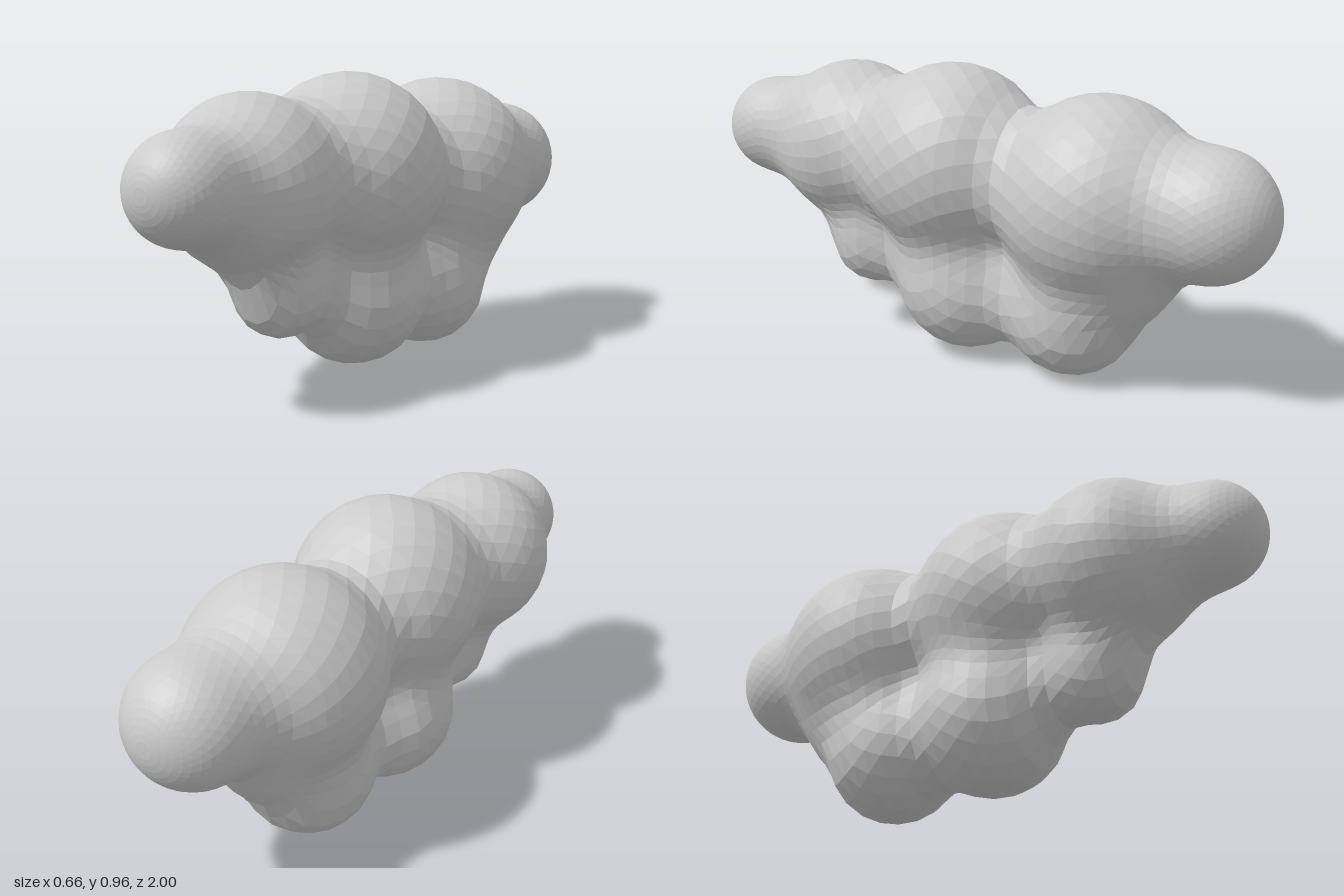
import * as THREE from 'three';

// Puffs of the cloud: x, y, z, radius
const puffs = [
  [-0.035, 0.67, 0.835, 0.165],
  [-0.06, 0.65, 0.52, 0.27],
  [0, 0.65, 0.1, 0.31],
  [0.01, 0.595, -0.43, 0.32],
  [0.04, 0.6, -0.795, 0.205],
  [-0.025, 0.32, 0.42, 0.15],
  [-0.02, 0.25, 0.05, 0.24],
  [0, 0.22, -0.34, 0.22],
  [0.02, 0.37, -0.53, 0.14],
];
const BLEND = 0.12;

// Core line inside the cloud: z, x, y
const core = [
  [-1, 0.04, 0.6], [-0.75, 0.04, 0.58], [-0.35, 0.01, 0.43], [0.1, -0.01, 0.44],
  [0.5, -0.04, 0.5], [0.8, -0.035, 0.66], [1, -0.035, 0.67],
];

function coreAt(z) {
  let i = 0;
  while (i < core.length - 2 && z > core[i + 1][0]) i++;
  const [a, b] = [core[i], core[i + 1]];
  const t = (z - a[0]) / (b[0] - a[0]);
  return [THREE.MathUtils.lerp(a[1], b[1], t), THREE.MathUtils.lerp(a[2], b[2], t)];
}

// Distance to the smoothly merged puffs
function distance(x, y, z) {
  let d = 10;
  for (const [px, py, pz, r] of puffs) {
    const e = Math.hypot(x - px, y - py, z - pz) - r;
    const h = Math.max(BLEND - Math.abs(d - e), 0) / BLEND;
    d = Math.min(d, e) - h * h * BLEND / 4;
  }
  return d;
}

// Walk inward towards the core until the surface is met
function surfaceRadius(cx, cy, z, dx, dy) {
  let r = 0.8;
  for (let i = 0; i < 150 && r > 0; i++) {
    const d = distance(cx + dx * r, cy + dy * r, z);
    if (d < 0.0005) break;
    r -= d;
  }
  return Math.max(r, 0);
}

function cloudGeometry(rings, sides) {
  const positions = [], index = [];
  for (let i = 0; i <= rings; i++) {
    // Rings gather towards the two rounded ends
    const z = -Math.cos((i / rings) * Math.PI);
    const [cx, cy] = coreAt(z);
    const pole = i === 0 || i === rings;
    for (let j = 0; j < sides; j++) {
      const a = ((j + (i % 2) / 2) / sides) * Math.PI * 2;
      const dx = Math.cos(a), dy = Math.sin(a);
      const r = pole ? 0 : surfaceRadius(cx, cy, z, dx, dy);
      positions.push(cx + dx * r, cy + dy * r, z);
    }
  }
  for (let i = 0; i < rings; i++) {
    for (let j = 0; j < sides; j++) {
      const k = (j + 1) % sides;
      const a = i * sides + j, b = i * sides + k;
      const c = a + sides, d = b + sides;
      // Diagonals follow the half-step offset of odd rings
      const tris = i % 2 ? [a, d, c, a, b, d] : [a, b, c, b, d, c];
      index.push(...tris);
    }
  }
  const geometry = new THREE.BufferGeometry();
  geometry.setAttribute('position', new THREE.Float32BufferAttribute(positions, 3));
  geometry.setIndex(index);
  geometry.computeVertexNormals();
  return geometry;
}

export function createModel() {
  const group = new THREE.Group();
  group.name = 'cloud';
  const material = new THREE.MeshStandardMaterial({ color: 0xcccccc, flatShading: true });
  const cloud = new THREE.Mesh(cloudGeometry(60, 36), material);
  cloud.name = 'cloudBody';
  // Rest the lowest puff on the ground
  cloud.geometry.computeBoundingBox();
  cloud.position.y = -cloud.geometry.boundingBox.min.y;
  group.add(cloud);
  return group;
}
